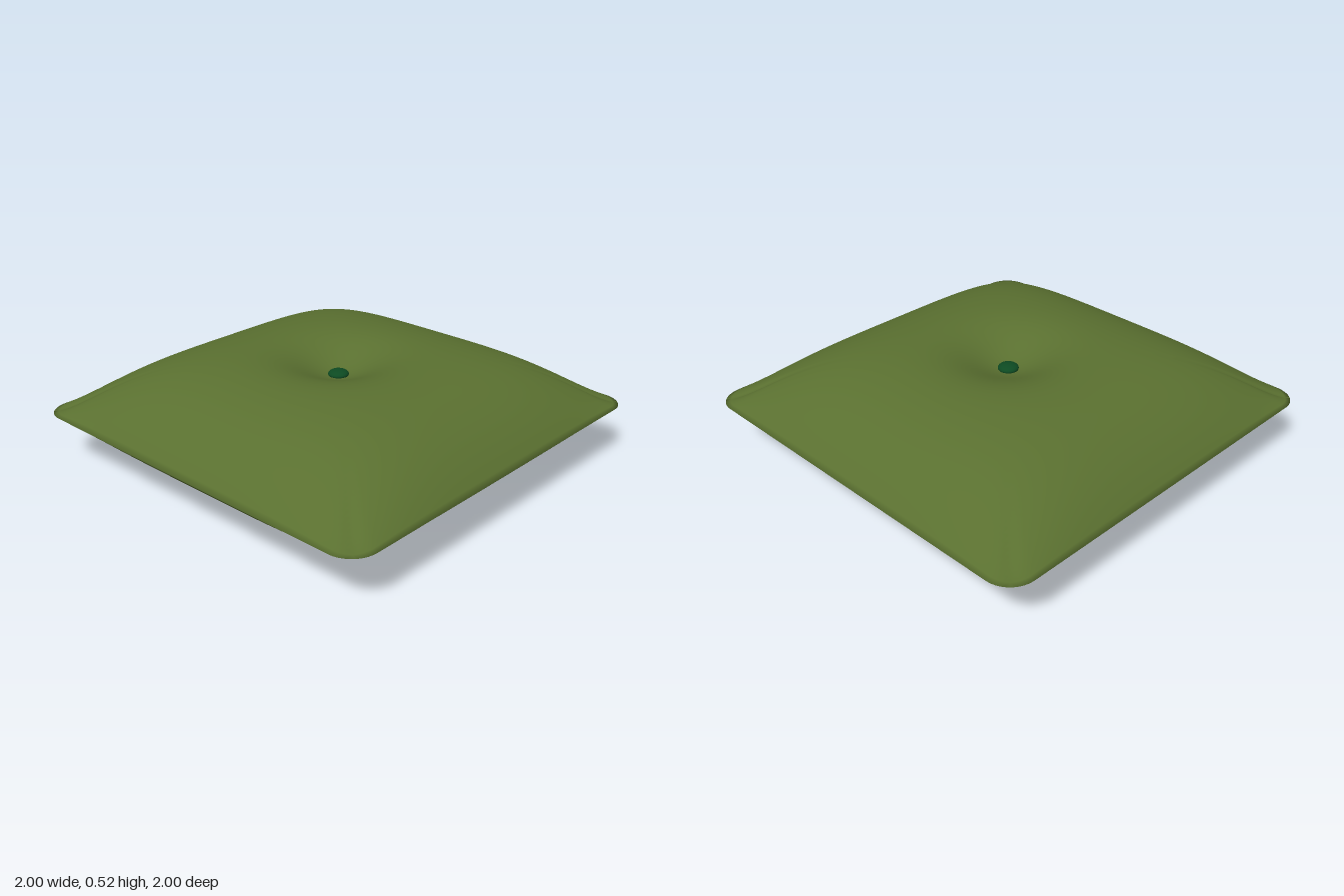
import * as THREE from 'three';
import { mergeGeometries, mergeVertices } from 'three/addons/utils/BufferGeometryUtils.js';

const MID = 0.262; // height of the seam
const BULGE = 0.27;
const CORNER = 0.13;

// Puffed height above the seam, with a tufted dimple in the middle
function puff(u, v) {
  const pillow = BULGE * (1 - u ** 4) * (1 - v ** 4);
  return pillow - 0.11 * Math.exp(-(u * u + v * v) / 0.053);
}

// One half of the cushion: a grid with rounded corners, pushed up by the puff rule
function cushionHalf() {
  const geo = new THREE.PlaneGeometry(2, 2, 96, 96).rotateX(-Math.PI / 2);
  const pos = geo.attributes.position;
  for (let i = 0; i < pos.count; i++) {
    const u = pos.getX(i), v = pos.getZ(i);
    const t = Math.max(Math.abs(u), Math.abs(v));
    const r = CORNER * t ** 5;
    const dx = Math.abs(u) - (t - r), dz = Math.abs(v) - (t - r);
    let x = u, z = v;
    if (dx > 0 && dz > 0) {
      const k = r / Math.hypot(dx, dz);
      x = Math.sign(u) * (t - r + dx * k);
      z = Math.sign(v) * (t - r + dz * k);
    }
    pos.setXYZ(i, x, t > 0.9999 ? 0 : puff(u, v), z);
  }
  geo.deleteAttribute('uv');
  geo.deleteAttribute('normal');
  return geo;
}

export function createModel() {
  const group = new THREE.Group();
  group.name = 'cushion';

  // Fabric cover: both halves welded along the seam
  const top = cushionHalf();
  const bottom = top.clone().rotateX(Math.PI);
  const coverGeo = mergeVertices(mergeGeometries([top, bottom]), 1e-4);
  coverGeo.computeVertexNormals();
  const cover = new THREE.Mesh(coverGeo, new THREE.MeshStandardMaterial({ color: 0x5a7030 }));
  cover.name = 'cover';
  cover.position.y = MID;
  group.add(cover);

  // Flattened buttons in the dimples
  const buttonGeo = new THREE.SphereGeometry(0.05, 32, 16).scale(1, 0.45, 1);
  const buttonMat = new THREE.MeshStandardMaterial({ color: 0x0d4a22 });
  for (const [name, side] of [['topButton', 1], ['bottomButton', -1]]) {
    const button = new THREE.Mesh(buttonGeo, buttonMat);
    button.name = name;
    button.position.y = MID + side * 0.17;
    group.add(button);
  }
  return group;
}
